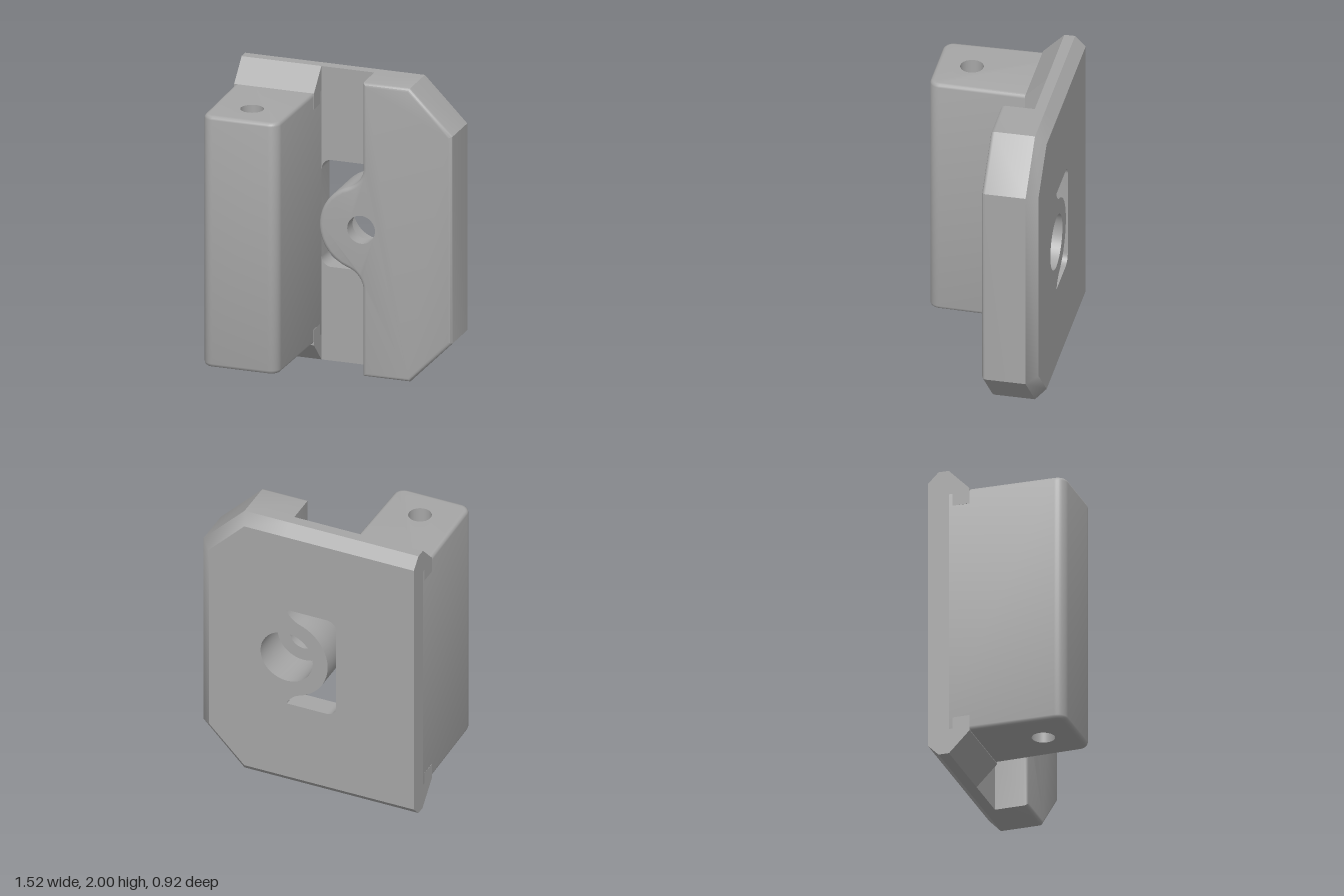
import * as THREE from 'three';
import { toCreasedNormals } from 'three/addons/utils/BufferGeometryUtils.js';

const V = (x, y) => new THREE.Vector2(x, y);

// Points along an arc, optionally leaving out the first one
function arc(cx, cy, r, a0, a1, n, skipFirst = false) {
  const pts = [];
  for (let i = skipFirst ? 1 : 0; i <= n; i++) {
    const a = a0 + (a1 - a0) * i / n;
    pts.push(V(cx + r * Math.cos(a), cy + r * Math.sin(a)));
  }
  return pts;
}

// Mitred inset of a counter-clockwise outline
function inset(pts, d) {
  const n = pts.length;
  return pts.map((p, i) => {
    const e = p.clone().sub(pts[(i + n - 1) % n]).normalize();
    const f = pts[(i + 1) % n].clone().sub(p).normalize();
    const n1 = V(-e.y, e.x), n2 = V(-f.y, f.x);
    return p.clone().addScaledVector(n1.clone().add(n2), d / (1 + n1.dot(n2)));
  });
}

// Rounded rim sections ending at level w; dir is +1 for the upper rim, -1 for the lower
function rim(pts, w, r, dir) {
  const out = [];
  for (let i = 0; i <= 3; i++) {
    const a = i / 3 * Math.PI / 2;
    out.push({ pts: inset(pts, r * (1 - Math.cos(a))), w: w - dir * r * (1 - Math.sin(a)) });
  }
  return dir > 0 ? out : out.reverse();
}

// Closed solid through stacked sections, with an optional stepped round bore
function solid(sections, bore) {
  const pos = [];
  const put = (p, w) => pos.push(p.x, p.y, w);
  const walls = (list) => {
    for (let k = 0; k < list.length - 1; k++) {
      const A = list[k], B = list[k + 1], n = A.pts.length;
      for (let i = 0; i < n; i++) {
        const j = (i + 1) % n;
        put(A.pts[i], A.w); put(A.pts[j], A.w); put(B.pts[j], B.w);
        put(A.pts[i], A.w); put(B.pts[j], B.w); put(B.pts[i], B.w);
      }
    }
  };
  const cap = (s, hole, up) => {
    const holes = hole ? [hole.pts] : [];
    const all = s.pts.concat(...holes);
    for (const t of THREE.ShapeUtils.triangulateShape(s.pts.slice(), holes.map((h) => h.slice()))) {
      for (const i of up ? t : [t[2], t[1], t[0]]) put(all[i], s.w);
    }
  };
  const rings = bore ? bore.steps.map(([r, w]) => ({
    pts: arc(bore.x, bore.y, r, 2 * Math.PI, 0, 40).slice(0, 40), w,
  })) : [];
  walls(sections);
  walls(rings);
  cap(sections[0], rings[0], false);
  cap(sections[sections.length - 1], rings[rings.length - 1], true);
  const g = new THREE.BufferGeometry();
  g.setAttribute('position', new THREE.Float32BufferAttribute(pos, 3));
  return g;
}

// Back outline: top, bottom, right and slanted edges step in for the chamfer
function chamferBack(pts, c = 0.07) {
  const k = c * Math.tan(Math.PI / 8);
  return pts.map((p) => {
    const q = p.clone();
    if (p.y < 0.01 || p.y > 1.99) {
      q.y += p.y < 1 ? c : -c;
      if (p.x > 0.4) q.x -= k;
    } else if (p.x > 0.7) {
      q.x -= c;
      q.y += p.y < 1 ? k : -k;
    }
    return q;
  });
}

export function createModel() {
  const group = new THREE.Group();
  const grey = new THREE.MeshStandardMaterial({ color: 0xa6a6a6 });
  grey.name = 'grey';
  const add = (name, geometry) => {
    const mesh = new THREE.Mesh(toCreasedNormals(geometry, 0.6), grey);
    mesh.name = name;
    group.add(mesh);
    return mesh;
  };
  const PI = Math.PI;

  // Thick plate with slanted corners and a round boss, counterbored from behind
  const r = 0.29, f = 0.15, cx = 0.14;
  const dy = Math.sqrt((r + f) ** 2 - cx ** 2);
  const t = Math.atan2(dy, cx);
  const plate = [
    V(0.15, 0), V(0.47, 0), V(0.76, 0.295), V(0.76, 1.705), V(0.47, 2), V(0.15, 2),
    ...arc(0, 1 + dy, f, 0, -t, 10),
    ...arc(cx, 1, r, PI - t, PI + t, 28, true),
    ...arc(0, 1 - dy, f, t, 0, 10, true),
  ];
  add('bossPlate', solid(
    [{ pts: chamferBack(plate), w: -0.46 }, { pts: plate, w: -0.39 }, ...rim(plate, -0.1, 0.025, 1)],
    { x: cx, y: 1, steps: [[0.185, -0.46], [0.185, -0.2], [0.095, -0.2], [0.095, -0.1]] },
  ));

  // Thin back web with the window notch beside the boss
  const web = [
    V(-0.76, 0), V(0.15, 0), V(0.15, 0.638),
    ...arc(-0.145, 0.703, 0.065, 1.5 * PI, PI, 8),
    ...arc(-0.145, 1.302, 0.065, PI, 0.5 * PI, 8),
    V(0.15, 1.367), V(0.15, 2), V(-0.76, 2),
  ];
  add('backWeb', solid([
    { pts: chamferBack(web), w: -0.46 }, { pts: web, w: -0.39 }, { pts: web, w: -0.32 },
  ]));

  // Tall block with slight draft, rounded front edges and a vertical bore
  const plan = [
    V(-0.76, 0.4),
    ...arc(-0.675, -0.39, 0.07, PI, 1.5 * PI, 8),
    ...arc(-0.295, -0.39, 0.07, 1.5 * PI, 2 * PI, 8),
    V(-0.21, 0.4),
  ];
  const block = solid(
    [...rim(plan, 0.148, 0.025, -1), ...rim(plan, 1.858, 0.025, 1)],
    { x: -0.485, y: -0.228, steps: [[0.076, 0.148], [0.076, 1.858]] },
  );
  add('tallBlock', block.rotateX(-PI / 2));

  // Sloped shoulders joining the block to the web at both ends
  const x0 = -0.758, x1 = -0.212;
  for (const top of [true, false]) {
    const y = (v) => (top ? v : 2 - v);
    const shape = new THREE.Shape([
      V(0.36, y(1.75)), V(0.18, y(1.75)), V(0.18, y(1.858)), V(0.32, y(2)), V(0.36, y(2)),
    ]);
    const g = new THREE.ExtrudeGeometry(shape, { depth: x1 - x0, bevelEnabled: false });
    g.rotateY(PI / 2).translate(x0, 0, 0);
    add(top ? 'upperShoulder' : 'lowerShoulder', g);
  }
  return group;
}
